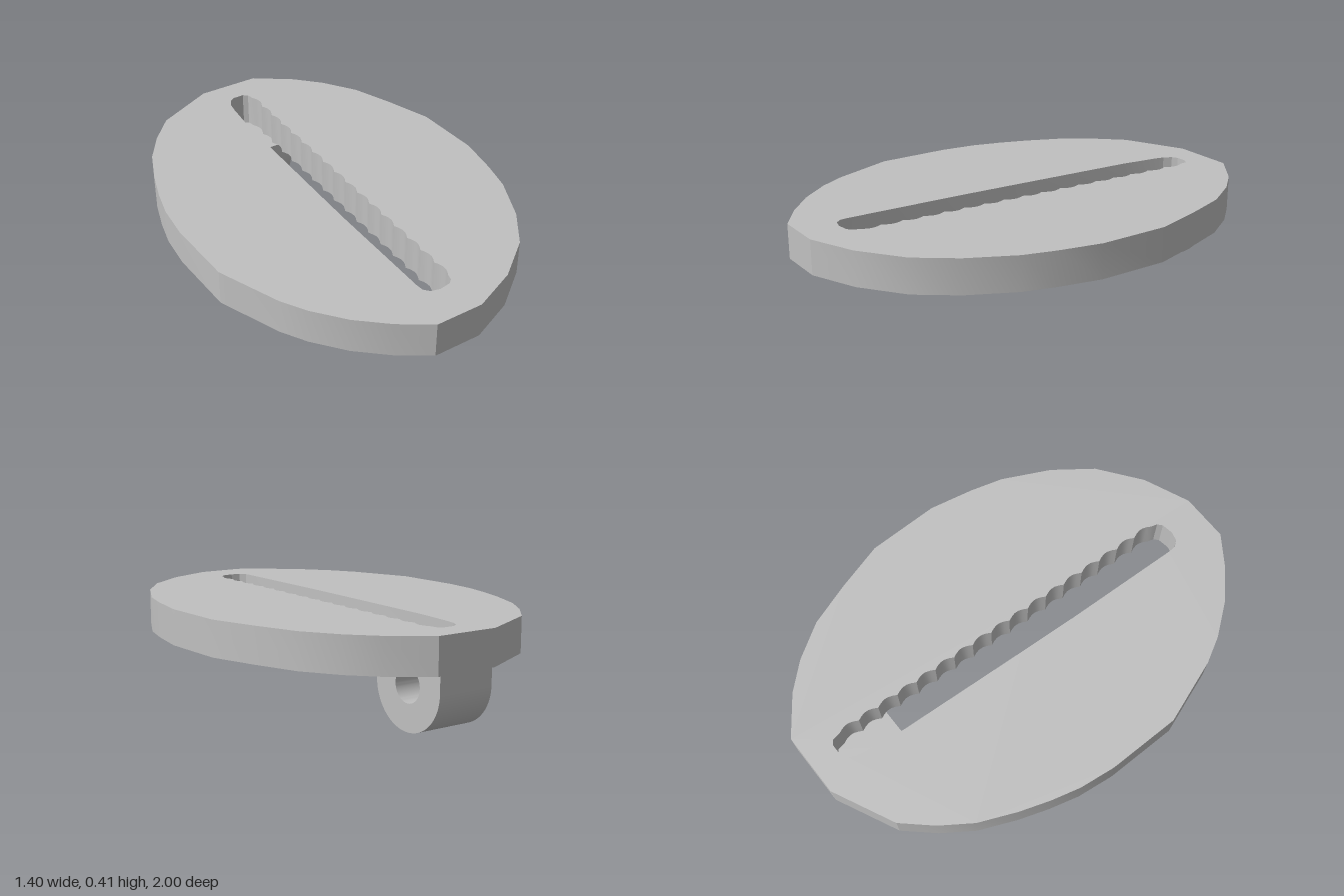
import * as THREE from 'three';
import { toCreasedNormals } from 'three/addons/utils/BufferGeometryUtils.js';

const BASE = 0.257, TOP = 0.408;

export function createModel() {
  const group = new THREE.Group();
  const grey = new THREE.MeshStandardMaterial({ color: 0xc0c0c0 });
  grey.name = 'light grey';

  const add = (geometry, name) => {
    const mesh = new THREE.Mesh(geometry, grey);
    mesh.name = name;
    group.add(mesh);
  };
  // Plan points are x, z; the shape is drawn with y = -z and laid flat
  const plan = (pts) => pts.map(([x, z]) => new THREE.Vector2(x, -z));

  // Faceted oval plate
  const plate = new THREE.Shape(plan([
    [-0.06, -1], [0.22, -1], [0.38, -0.88], [0.48, -0.77], [0.575, -0.62], [0.64, -0.43],
    [0.7, -0.22], [0.7, 0.09], [0.66, 0.28], [0.62, 0.42], [0.52, 0.62], [0.4, 0.78],
    [0.22, 0.915], [0.02, 1], [-0.19, 1], [-0.32, 0.91], [-0.44, 0.8], [-0.54, 0.67],
    [-0.6, 0.56], [-0.7, 0.28], [-0.7, -0.04], [-0.68, -0.2], [-0.645, -0.33],
    [-0.6, -0.46], [-0.53, -0.62], [-0.44, -0.75], [-0.33, -0.87],
  ]));

  // Slanted slot: smooth left wall, rounded ends, scalloped right wall
  const slot = [
    [0.11, -0.865], [0.09, -0.88], [0.04, -0.88], [0.015, -0.865], [-0.005, -0.83],
    [-0.015, -0.78], [-0.037, -0.61], [-0.074, -0.02], [-0.09, 0.25], [-0.112, 0.77],
    [-0.11, 0.805], [-0.09, 0.83], [-0.05, 0.84], [0, 0.832], [0.02, 0.815],
  ];
  const teeth = 17, steps = 5;
  for (let i = 0; i <= teeth * steps; i++) {
    const t = i / (teeth * steps);
    const bite = 0.016 * Math.sin(Math.PI * (i % steps) / steps);
    slot.push([0.027 + 0.088 * t + bite, 0.79 - 1.62 * t]);
  }
  plate.holes.push(new THREE.Path(plan(slot)));
  const plateGeo = new THREE.ExtrudeGeometry(plate, { depth: TOP - BASE, bevelEnabled: false });
  plateGeo.rotateX(-Math.PI / 2).translate(0, BASE, 0);
  add(toCreasedNormals(plateGeo, 0.3), 'slottedPlate');

  // Round-bottomed lug with a cross hole, under the rear end
  const r = 0.184, cz = 0.793;
  const lug = new THREE.Shape();
  lug.moveTo(cz + r, BASE);
  lug.lineTo(cz - r, BASE);
  lug.lineTo(cz - r, r);
  lug.absarc(cz, r, r, Math.PI, Math.PI * 2, false);
  lug.closePath();
  lug.holes.push(new THREE.Path().absarc(cz, r, 0.071, 0, Math.PI * 2, true));
  const lugGeo = new THREE.ExtrudeGeometry(lug, { depth: 0.26, bevelEnabled: false, curveSegments: 32 });
  lugGeo.rotateY(Math.PI / 2).translate(-0.07, 0, 0);
  add(toCreasedNormals(lugGeo, 0.5), 'pivotLug');

  return group;
}
